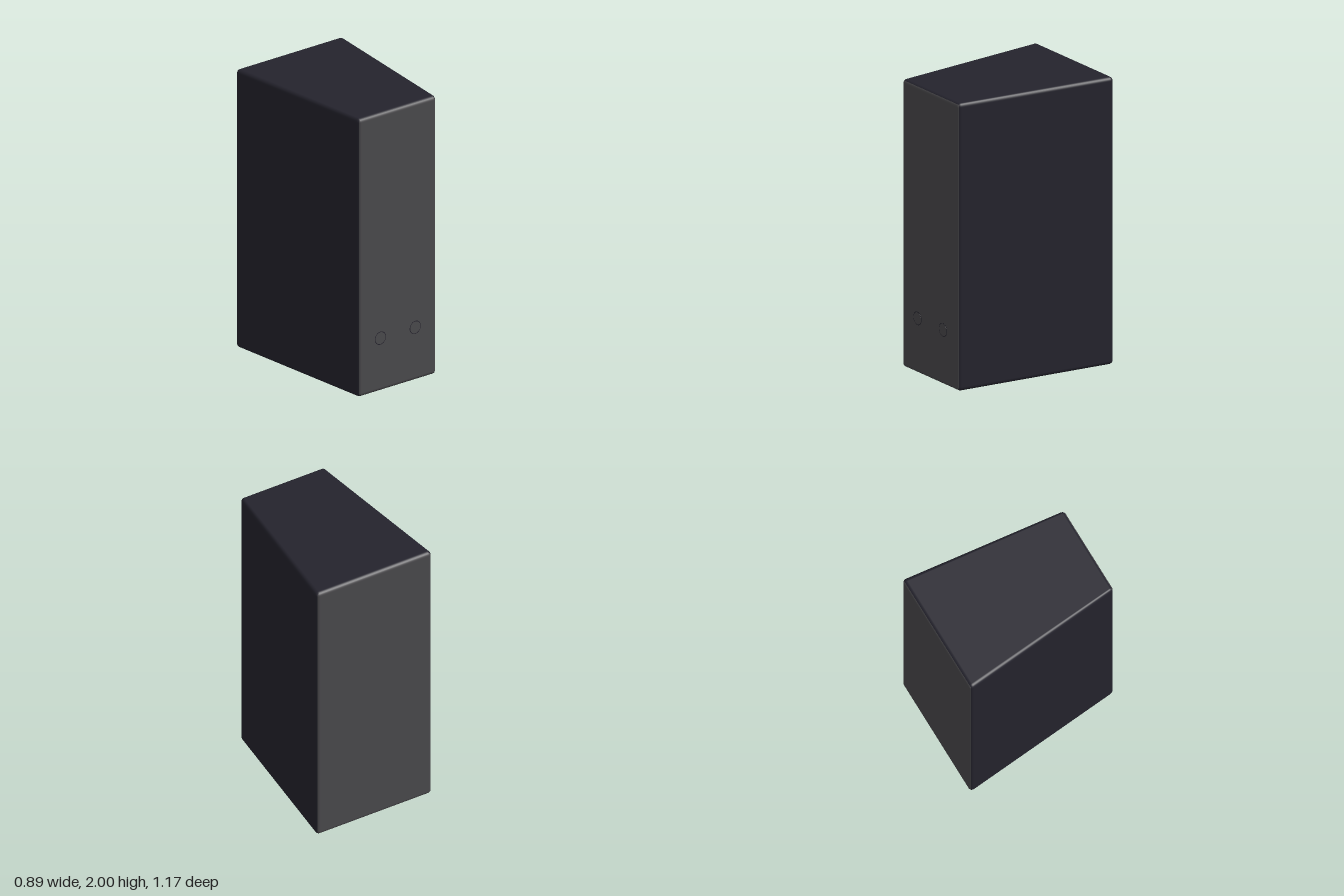
import * as THREE from 'three';
import { RoundedBoxGeometry } from 'three/addons/geometries/RoundedBoxGeometry.js';

const material = (name, color) => {
  const m = new THREE.MeshStandardMaterial({ color });
  m.name = name;
  return m;
};

const DEPTH = 1.17, HEIGHT = 2;
const FRONT_HALF = 0.323, BACK_HALF = 0.447;

// Rounded box whose width narrows evenly from back to front
function taperedBox() {
  const geo = new RoundedBoxGeometry(2 * BACK_HALF, HEIGHT, DEPTH, 5, 0.028);
  const pos = geo.attributes.position, nor = geo.attributes.normal;
  const slope = (FRONT_HALF / BACK_HALF - 1) / DEPTH;
  const n = new THREE.Vector3();
  for (let i = 0; i < pos.count; i++) {
    const x = pos.getX(i);
    const scale = 1 + slope * (pos.getZ(i) + DEPTH / 2);
    pos.setX(i, x * scale);
    n.fromBufferAttribute(nor, i);
    n.set(n.x / scale, n.y, n.z - (x * slope * n.x) / scale).normalize();
    nor.setXYZ(i, n.x, n.y, n.z);
  }
  return geo;
}

export function createModel() {
  const shell = material('dark shell', 0x24232d);
  const panel = material('grey panel', 0x4a494c);
  const group = new THREE.Group();
  group.name = 'taperedCabinet';

  // Dark sides, top and bottom; grey front and back
  const body = new THREE.Mesh(taperedBox(), [shell, shell, shell, shell, panel, panel]);
  body.name = 'cabinetBody';
  body.position.y = HEIGHT / 2;
  group.add(body);

  // Two round buttons, each with a fine dark gap around it
  for (const side of [-1, 1]) {
    const button = new THREE.Group();
    button.name = side > 0 ? 'leftButton' : 'rightButton';
    const gap = new THREE.Mesh(new THREE.RingGeometry(0.042, 0.047, 48), shell);
    gap.name = 'buttonGap';
    gap.position.z = 0.001;
    const cap = new THREE.Mesh(new THREE.CylinderGeometry(0.042, 0.042, 0.004, 48), panel);
    cap.name = 'buttonCap';
    cap.rotation.x = Math.PI / 2;
    button.add(gap, cap);
    button.position.set(side * 0.146, 0.383, DEPTH / 2);
    group.add(button);
  }
  return group;
}
